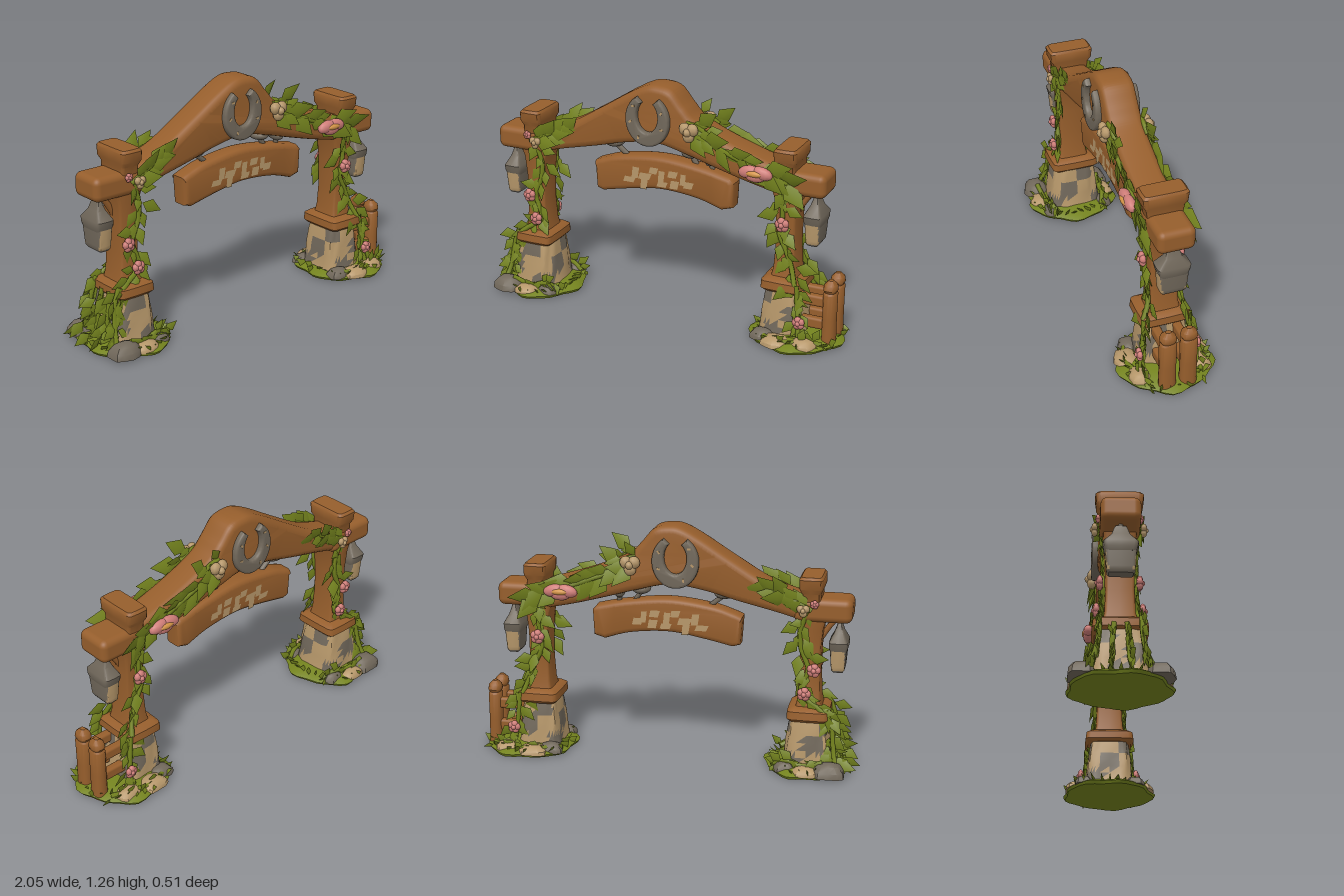
import * as THREE from 'three';
import { mergeGeometries, toCreasedNormals } from 'three/addons/utils/BufferGeometryUtils.js';
import { RoundedBoxGeometry } from 'three/addons/geometries/RoundedBoxGeometry.js';

const mat = (name, color) => Object.assign(new THREE.MeshStandardMaterial({ color }), { name });
const wood = mat('warm wood', 0x965e2c), green = mat('olive leaf', 0x74831e);
const tan = mat('tan stone', 0xb6976a), grey = mat('weathered grey', 0x71685b);
const pink = mat('pink petal', 0xcf7d78), amber = mat('amber flower heart', 0xd39447);

let seed = 7;
const rnd = (a = 0, b = 1) => {
  seed = (seed * 16807) % 2147483647;
  return a + (b - a) * seed / 2147483647;
};
const V = (x, y, z = 0) => new THREE.Vector3(x, y, z);
const V2 = list => list.map(p => new THREE.Vector2(...p));

function add(parent, name, geo, material, x = 0, y = 0, z = 0) {
  const mesh = new THREE.Mesh(geo, material);
  mesh.name = name;
  mesh.position.set(x, y, z);
  parent.add(mesh);
  return mesh;
}

// Upright solid through rings [y, halfX, halfZ], bottom to top; p = 1 is round, small p is square
function loft(rings, sides = 16, p = 0.25, wobble = 0) {
  const geo = new THREE.CylinderGeometry(1, 1, 1, sides, rings.length - 1);
  const pos = geo.attributes.position;
  const sq = v => Math.sign(v) * Math.pow(Math.abs(v) < 1e-6 ? 0 : Math.abs(v), p);
  for (let i = 0; i < pos.count; i++) {
    const [y, hx, hz] = rings[Math.round((pos.getY(i) + 0.5) * (rings.length - 1))];
    const x = pos.getX(i), z = pos.getZ(i), a = Math.atan2(z, x);
    const w = 1 + wobble * (Math.sin(5 * a + 1) * 0.6 + Math.sin(9 * a + y * 20) * 0.4);
    pos.setXYZ(i, sq(x) * hx * w, y, sq(z) * hz * w);
  }
  return toCreasedNormals(geo, 0.7);
}

// Second material on the triangles whose centre passes the test
function patch(geo, test) {
  const p = geo.attributes.position;
  geo.clearGroups();
  for (let i = 0; i < p.count; i += 3) {
    const c = V(0, 0);
    for (let k = 0; k < 3; k++) c.add(V(p.getX(i + k), p.getY(i + k), p.getZ(i + k)));
    c.divideScalar(3);
    geo.addGroup(i, 3, test(c) ? 1 : 0);
  }
  return geo;
}

function slab(shape, depth, bevel) {
  const geo = new THREE.ExtrudeGeometry(shape, {
    depth: depth - 2 * bevel, bevelThickness: bevel, bevelSize: bevel, bevelOffset: -bevel, bevelSegments: 3, curveSegments: 24,
  });
  geo.translate(0, 0, bevel - depth / 2);
  return toCreasedNormals(geo, 0.7);
}

// Chunky pointed leaf, from its root up along y
const leafShape = new THREE.OctahedronGeometry(1);
for (let i = 0, p = leafShape.attributes.position; i < p.count; i++) {
  const y = p.getY(i);
  p.setXYZ(i, p.getX(i) * 0.31, (y > 0 ? y * 0.6 : y * 0.4) + 0.4, p.getZ(i) * 0.1);
}
const leafBase = toCreasedNormals(leafShape, 2);
function leaf(pos, size, angle, tilt = 0, roll = 0) {
  const q = new THREE.Quaternion().setFromEuler(new THREE.Euler(tilt, roll, angle, 'ZXY'));
  const geo = leafBase.clone().applyMatrix4(new THREE.Matrix4().compose(pos, q, V(size, size, size)));
  const p = geo.attributes.position;
  for (let i = 0; i < p.count; i++) p.setY(i, Math.max(p.getY(i), 0.006));
  return geo;
}

// Leaves along a path, repeated on the front and the back
function vine(parent, name, path, count, size, spread = 0.025, turn = 1.2) {
  const curve = new THREE.CatmullRomCurve3(path.map(p => V(...p)));
  for (const side of [1, -1]) {
    const parts = [];
    for (let i = 0; i < count; i++) {
      const t = (i + 0.5) / count, c = curve.getPoint(t), d = curve.getTangent(t);
      c.x += rnd(-spread, spread);
      c.y += rnd(-spread, spread) * 0.7;
      c.z *= side;
      const angle = Math.atan2(d.y, d.x) - Math.PI / 2 + (i % 2 ? 1 : -1) * rnd(0.15, turn);
      parts.push(leaf(c, size * rnd(0.8, 1.2), angle, side * rnd(-0.1, 0.3), rnd(-0.4, 0.4)));
    }
    add(parent, name, mergeGeometries(parts), green);
    const stem = curve.getPoints(12).map(p => V(p.x, p.y, p.z * side));
    add(parent, name + 'Stem', new THREE.TubeGeometry(new THREE.CatmullRomCurve3(stem), 20, 0.014, 5), green);
  }
}

function flower(parent, name, x, y, z, r, material, petals = 5) {
  for (const side of [1, -1]) {
    const g = new THREE.Group();
    g.name = name;
    g.position.set(x, y, z * side);
    for (let i = 0; i < petals; i++) {
      const a = i / petals * Math.PI * 2 + 0.5;
      add(g, 'petal', new THREE.SphereGeometry(r * 0.6, 8, 6), material, Math.cos(a) * r * 0.45, Math.sin(a) * r * 0.45, 0).scale.z = 0.75;
    }
    add(g, 'heart', new THREE.SphereGeometry(r * 0.4, 8, 6), material, 0, 0, side * r * 0.3);
    parent.add(g);
  }
}

function buildPillar(root, s, cx, footScale) {
  const g = new THREE.Group();
  g.name = s < 0 ? 'rightPillar' : 'leftPillar';
  g.position.x = cx;
  root.add(g);
  // Stone foot with mixed stones
  const rings = [[.02, .132, .145], [.04, .128, .143], [.08, .122, .138], [.12, .118, .135], [.16, .115, .13], [.2, .108, .125], [.24, .104, .12], [.29, .095, .11]]
    .map(([y, x, z]) => [y, x * footScale, z * footScale]);
  const foot = patch(loft(rings, 32, 0.5, 0.05), c => {
    const a = Math.atan2(c.z, c.x) + cx;
    return Math.sin(a * 3 + 0.6 + Math.floor(c.y / 0.1) * 2.2) > 0.3;
  });
  add(g, 'stoneFoot', foot, [tan, grey]);
  add(g, 'collar', loft([[.27, .095, .12], [.285, .11, .135], [.325, .108, .13], [.342, .085, .105]]), wood);
  add(g, 'post', loft([[.33, .07, .085], [.38, .06, .075], [.5, .053, .07], [.65, .054, .072], [.76, .064, .078], [.85, .095, .085]]), wood);
  // Beam end and cap block
  add(g, 'beamEnd', new RoundedBoxGeometry(.3, .125, .195, 3, .035), wood, s * .06, .858, 0);
  add(g, 'cap', loft([[.88, .052, .09], [.945, .05, .1], [.97, .062, .114], [1.02, .062, .12], [1.033, .052, .108]]), wood);
  // Lantern with its strut
  const strut = new THREE.QuadraticBezierCurve3(V(s * .13, .81), V(s * .09, .77), V(s * .04, .68));
  add(g, 'strut', new THREE.TubeGeometry(strut, 8, .016, 6), wood);
  const lx = s * .142;
  add(g, 'lanternChain', new THREE.CylinderGeometry(.012, .012, .06, 6), grey, lx, .785, 0);
  add(g, 'lanternRoof', loft([[.638, .042, .072], [.66, .049, .08], [.69, .049, .086], [.735, .026, .045], [.77, .014, .034], [.785, .01, .026]], 16, .3), grey, lx);
  const body = loft([[.53, .026, .058], [.542, .034, .067], [.56, .036, .069], [.6, .039, .072], [.63, .041, .074], [.67, .043, .076]]);
  add(g, 'lanternBody', patch(body, c => Math.abs(c.x) < .034 && c.y > .545), [grey, tan], lx);
}

function buildGround(root, cx, r, rocks) {
  add(root, 'grassMound', loft([[0, r * .93, .24], [.015, r * .97, .248], [.032, r * .85, .215], [.05, r * .5, .14]], 36, 1, .07), green, cx);
  const tufts = [];
  for (let i = 0; i < 30; i++) {
    const a = i / 30 * Math.PI * 2, k = rnd(.62, .84);
    tufts.push(leaf(V(cx + Math.cos(a) * r * k, .012, Math.sin(a) * .245 * k), rnd(.05, .085), -Math.cos(a) * .9, Math.sin(a) * .9, rnd(0, 3)));
  }
  add(root, 'grassTufts', mergeGeometries(tufts), green);
  for (const [x, z, w, h, m] of rocks) for (const side of [1, -1]) {
    add(root, 'rock', loft([[0, w, w * .8], [h * .45, w * .95, w * .75], [h * .85, w * .65, w * .5], [h, w * .3, w * .2]], 12, .8, .1), m, x, .012, z * side);
  }
}

export function createModel() {
  const root = new THREE.Group();
  root.name = 'gardenGateway';
  buildPillar(root, -1, -.765, 1);
  buildPillar(root, 1, .68, .93);
  buildGround(root, -.765, .235, [[-.89, .18, .085, .07, grey], [-.77, .19, .07, .045, tan], [-.66, .155, .055, .05, grey]]);
  buildGround(root, .745, .255, [[.6, .14, .065, .05, grey], [.69, .18, .08, .045, tan], [.83, .16, .07, .05, tan]]);

  // Arched beam
  const arch = new THREE.Shape();
  arch.moveTo(-.74, .92);
  arch.splineThru(V2([[-.55, .985], [-.36, 1.095], [-.2, 1.195], [-.1, 1.247], [-.03, 1.257], [.05, 1.238], [.12, 1.16], [.2, 1.085], [.4, 1.0], [.66, .92]]));
  arch.lineTo(.66, .78);
  arch.splineThru(V2([[.49, .815], [.3, .865], [.14, .91], [-.03, .947], [-.2, .928], [-.39, .88], [-.6, .83], [-.74, .79]]));
  arch.closePath();
  add(root, 'archBeam', slab(arch, .18, .036), wood);

  // Horseshoes on both faces, with worn flecks
  const shoe = new THREE.Shape();
  shoe.absellipse(0, 0, .122, .138, 2.1, 7.32, false);
  shoe.absellipse(0, .02, .06, .084, 7.28, 2.14, true);
  shoe.closePath();
  const shoeGeo = slab(shoe, .045, .012);
  for (const side of [1, -1]) {
    add(root, 'horseshoe', shoeGeo, grey, -.07, 1.078, side * .098);
    for (const a of [2.5, 3.3, 4.2, 5.9, 6.7]) {
      const fleck = add(root, 'shoeFleck', new THREE.BoxGeometry(.018, .01, .004), tan, -.07 + Math.cos(a) * .092, 1.084 + Math.sin(a) * .112, side * .1205);
      fleck.rotation.z = a + 0.6;
    }
  }

  // Hanging board with worn flecks
  const board = new THREE.Shape();
  board.moveTo(-.41, .79);
  board.splineThru(V2([[-.36, .81], [-.25, .842], [-.03, .867], [.2, .845], [.365, .81]]));
  board.lineTo(.387, .785);
  board.lineTo(.38, .65);
  board.lineTo(.32, .632);
  board.splineThru(V2([[.18, .672], [-.02, .688], [-.2, .662], [-.36, .628]]));
  board.lineTo(-.4, .64);
  board.closePath();
  add(root, 'hangingBoard', slab(board, .11, .026), wood);
  const flecks = [[-.2, .722, .075, .03], [-.165, .765, .045, .06], [-.11, .752, .08, .036], [-.115, .708, .045, .055], [-.06, .79, .055, .035],
    [-.015, .765, .04, .06], [-.01, .722, .065, .03], [.05, .785, .06, .036], [.06, .73, .055, .045], [.108, .765, .035, .06], [.14, .74, .06, .036]];
  for (const side of [1, -1]) for (const [x, y, w, h] of flecks) {
    const shape = new THREE.Shape(V2([[-w / 2, -h / 2], [w * .3, -h / 2], [w / 2, h / 2], [-w * .35, h / 2]]));
    add(root, 'wornFleck', new THREE.ShapeGeometry(shape), tan, x, y, side * .0565).rotation.y = side < 0 ? Math.PI : 0;
  }
  // Board hangers
  for (const [x, y, r, ex] of [[-.31, .903, .055, -.23], [.13, .905, .05, .17], [.245, .88, .025, .25]]) {
    add(root, 'hangerPlate', new THREE.SphereGeometry(1, 14, 8), grey, x, y, 0).scale.set(r, .028, .06);
    add(root, 'hangerLink', new THREE.TubeGeometry(new THREE.CatmullRomCurve3([V(x, y - .01), V((x + ex) / 2, .862), V(ex, .83)]), 8, .014, 6), grey);
  }

  // Short fence beside one pillar
  const picket = loft([[0, .037, .044], [.15, .035, .043], [.29, .036, .044], [.3, .03, .036], [.315, .037, .044], [.34, .033, .038], [.362, .012, .015]], 14, .8);
  for (const z of [.055, -.055]) {
    add(root, 'fencePost', picket, wood, .932, .002, z);
    for (const y of [.24, .115]) add(root, 'fenceRail', new RoundedBoxGeometry(.2, .06, .045, 2, .014), wood, .84, y, z);
  }

  // Climbing leaves
  vine(root, 'archVine', [[.15, 1.05, .095], [.25, 1.01, .095], [.36, .97, .095], [.48, .925, .095], [.58, .895, .1], [.7, .86, .1]], 17, .145, .02, .6);
  vine(root, 'crestLeaves', [[.14, 1.09, .085], [.19, 1.08, .085], [.25, 1.05, .085]], 6, .12, .02, 1.3);
  vine(root, 'cornerVine', [[-.77, .86, .1], [-.7, .9, .1], [-.63, .93, .09], [-.56, .96, .08]], 9, .13, .015, .7);
  vine(root, 'postVineRight', [[-.75, .86, .09], [-.715, .75, .08], [-.72, .65, .078], [-.76, .54, .078], [-.72, .42, .085], [-.8, .36, .1], [-.85, .32, .11]], 20, .1);
  vine(root, 'footVineRight', [[-.86, .34, .1], [-.89, .25, .1], [-.9, .17, .11], [-.91, .1, .13], [-.92, .06, .15]], 18, .095);
  vine(root, 'footBushRight', [[-.87, .3, .03], [-.89, .2, .04], [-.9, .12, .04], [-.93, .06, .05]], 11, .095);
  vine(root, 'footSideRight', [[-.86, .08, .18], [-.75, .05, .17], [-.68, .07, .16], [-.6, .04, .13]], 10, .075);
  vine(root, 'postVineLeft', [[.7, .86, .09], [.67, .77, .085], [.67, .67, .08], [.655, .58, .078], [.69, .5, .078], [.73, .4, .085], [.76, .32, .12]], 21, .105);
  vine(root, 'footVineLeft', [[.77, .33, .12], [.78, .24, .125], [.79, .14, .13], [.8, .06, .15]], 13, .09);
  vine(root, 'footSideLeft', [[.58, .04, .15], [.7, .04, .2], [.82, .04, .17], [.92, .035, .13]], 9, .07);

  // Blossoms
  for (const [x, y, z, r] of [[-.79, .545, .095, .036], [-.745, .42, .11, .036], [.675, .635, .1, .038], [.8, .14, .155, .034], [-.785, .895, .105, .022]])
    flower(root, 'pinkBlossom', x, y, z, r, pink);
  for (const [x, y, z, r] of [[-.73, .865, .12, .034], [.165, 1.055, .115, .055]]) flower(root, 'paleBlossom', x, y, z, r, tan, 3);
  for (const side of [1, -1]) {
    const g = new THREE.Group();
    g.name = 'largeBlossom';
    g.position.set(.535, .89, side * .125);
    for (const [dx, dy, a] of [[-.035, .01, .2], [.035, .01, -.2], [0, -.008, 0]]) {
      const petal = add(g, 'petal', new THREE.SphereGeometry(1, 12, 8), pink, dx, dy, 0);
      petal.scale.set(.058, .033, .028);
      petal.rotation.z = a;
    }
    add(g, 'heart', new THREE.SphereGeometry(1, 12, 8), amber, 0, .008, side * .02).scale.set(.045, .016, .016);
    root.add(g);
  }
  return root;
}
